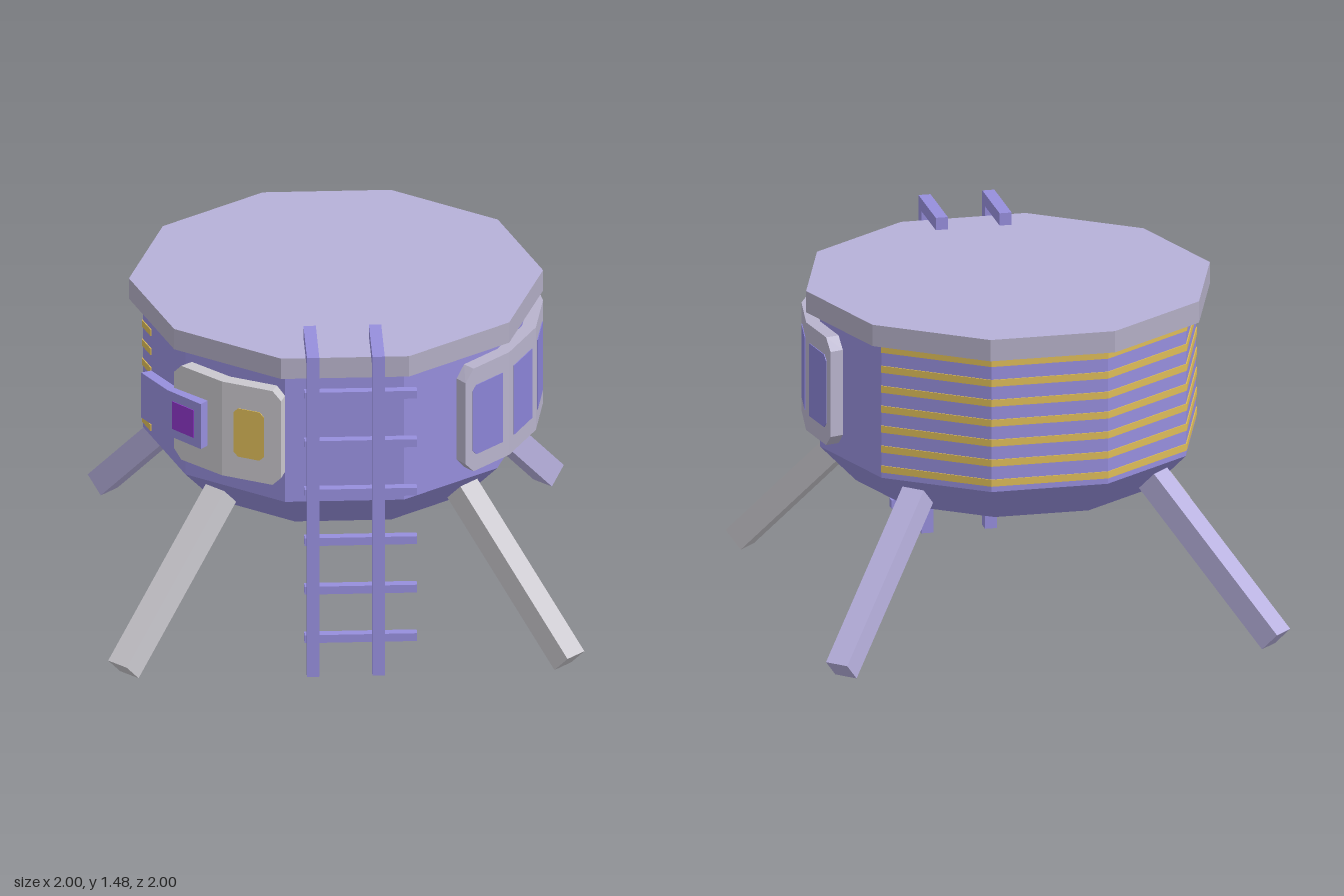
import * as THREE from 'three';

const mat = (name, color) => {
  const m = new THREE.MeshStandardMaterial({ color });
  m.name = name;
  return m;
};

// Point [x, z] on a circle; angle in degrees from +x towards +z
const polar = (deg, r) => {
  const a = THREE.MathUtils.degToRad(deg);
  return [Math.cos(a) * r, Math.sin(a) * r];
};
const lerp = (p, q, t) => [p[0] + (q[0] - p[0]) * t, p[1] + (q[1] - p[1]) * t];
const arc = (angles, r) => angles.map((a) => polar(a, r));

// Curved plate along a ground path (left to right seen from outside).
// It reaches from the path scaled by sIn to the path scaled by sOut;
// cut = [left, right] sizes of the corner chamfers.
function plate(path, y0, y1, sIn, sOut, cut = [0, 0]) {
  const cols = path.map(([x, z]) => ({ x, z, lo: y0, hi: y1 }));
  const chamfer = (i, j, c) => {
    const p = path[i], q = path[j];
    const t = c / Math.hypot(q[0] - p[0], q[1] - p[1]);
    const [x, z] = lerp(p, q, t);
    return { x, z, lo: y0, hi: y1 };
  };
  const n = path.length;
  const shrink = (col, c) => { col.lo += c; col.hi -= c; };
  if (cut[1]) {
    shrink(cols[n - 1], cut[1]);
    cols.splice(n - 1, 0, chamfer(n - 1, n - 2, cut[1]));
  }
  if (cut[0]) {
    shrink(cols[0], cut[0]);
    cols.splice(1, 0, chamfer(0, 1, cut[0]));
  }
  const pos = [];
  const quad = (a, b, c, d) => pos.push(...a, ...b, ...c, ...a, ...c, ...d);
  const pt = (c, s, key) => [c.x * s, c[key], c.z * s];
  for (let i = 0; i < cols.length - 1; i++) {
    const a = cols[i], b = cols[i + 1];
    const [ol, or, oR, oL] = [pt(a, sOut, 'lo'), pt(b, sOut, 'lo'), pt(b, sOut, 'hi'), pt(a, sOut, 'hi')];
    const [il, ir, iR, iL] = [pt(a, sIn, 'lo'), pt(b, sIn, 'lo'), pt(b, sIn, 'hi'), pt(a, sIn, 'hi')];
    quad(ol, or, oR, oL);
    quad(ir, il, iL, iR);
    quad(oL, oR, iR, iL);
    quad(il, ir, or, ol);
    if (i === 0) quad(il, ol, oL, iL);
    if (i === cols.length - 2) quad(or, ir, iR, oR);
  }
  const g = new THREE.BufferGeometry();
  g.setAttribute('position', new THREE.Float32BufferAttribute(pos, 3));
  return g;
}

// Ten-sided drum with a vertex on the x axis and faceted normals
function drum(rTop, rBottom, y0, y1, open = false) {
  const g = new THREE.CylinderGeometry(rTop, rBottom, y1 - y0, 10, 1, open, Math.PI / 2);
  return g.translate(0, (y0 + y1) / 2, 0);
}

export function createModel() {
  const model = new THREE.Group();
  model.name = 'habitatModule';

  const violet = mat('violet hull', 0x968edc);
  const lilac = mat('lilac roof', 0xb6b0d8);
  const rimGrey = mat('rim grey', 0xb2adc4);
  const panelLilac = mat('window panel', 0xb8b3cc);
  const paleGrey = mat('pale grey', 0xcac8ce);
  const backLeg = mat('lilac leg', 0xb9b2e0);
  const glass = mat('window violet', 0x8a83d6);
  const gold = mat('gold', 0xdcbb58);
  const magenta = mat('magenta', 0x9136cc);

  const add = (name, geometry, material, parent = model) => {
    const g = geometry.index ? geometry.toNonIndexed() : geometry;
    if (!Array.isArray(material)) g.clearGroups();
    g.computeVertexNormals();
    const mesh = new THREE.Mesh(g, material);
    mesh.name = name;
    parent.add(mesh);
    return mesh;
  };
  const group = (name) => {
    const g = new THREE.Group();
    g.name = name;
    model.add(g);
    return g;
  };

  // Hull and roof
  add('hull', drum(0.81, 0.81, 0.72, 1.32), violet);
  add('hullSkirt', drum(0.81, 0.655, 0.56, 0.72), violet);
  const roof = drum(0.87, 0.87, 1.316, 1.41).toNonIndexed();
  add('roof', roof, [rimGrey, lilac, rimGrey]);

  // Gold stripes around the back of the hull
  const stripes = group('stripes');
  const stripePath = arc([324, 288, 252, 216, 180], 0.81);
  stripePath.push(lerp(polar(180, 0.81), polar(144, 0.81), 0.2));
  for (let i = 0; i < 7; i++) {
    const y = 0.76 + i * 0.088;
    add('stripe', plate(stripePath, y - 0.015, y + 0.015, 0.999, 1.006), gold, stripes);
  }

  // Window set into one facet between two angles
  const pane = (name, a, b, r, t0, t1, y0, y1, material, cut, parent) => {
    const p = polar(a, r), q = polar(b, r);
    add(name, plate([lerp(p, q, t0), lerp(p, q, t1)], y0, y1, 0.999, 1.004, cut), material, parent);
  };

  // Wide panel with four windows
  const wide = group('widePanel');
  const wideAngles = [54, 36, 18, 0, -18];
  add('widePanelFrame', plate(arc(wideAngles, 0.87), 0.797, 1.272, 0.81 / 0.87, 1, [0.05, 0.05]), panelLilac, wide);
  for (let i = 0; i < 4; i++) {
    const cut = [i === 0 ? 0.022 : 0, i === 3 ? 0.022 : 0];
    pane('window', wideAngles[i], wideAngles[i + 1], 0.87, 0.16, 0.84, 0.872, 1.192, glass, cut, wide);
  }

  // Hatch panel with a gold window
  const hatch = group('hatchPanel');
  add('hatchFrame', plate(arc([144, 126, 108], 0.87), 0.818, 1.252, 0.81 / 0.87, 1, [0.04, 0.04]), paleGrey, hatch);
  pane('hatchWindow', 126, 108, 0.87, 0.2, 0.71, 0.92, 1.143, gold, [0.02, 0.02], hatch);

  // Small folded pod with a magenta screen
  const pod = group('controlPod');
  add('podCase', plate(arc([157, 144, 131.4], 0.907), 0.93, 1.138, 0.86 / 0.907, 1), violet, pod);
  pane('podScreen', 144, 131.4, 0.907, 0.16, 0.8, 0.97, 1.097, magenta, [0, 0], pod);

  // Ladder with hooked rails and six rungs
  const ladder = group('ladder');
  const box = (name, x0, x1, y0, y1, z0, z1) => {
    const g = new THREE.BoxGeometry(x1 - x0, y1 - y0, z1 - z0);
    g.translate((x0 + x1) / 2, (y0 + y1) / 2, (z0 + z1) / 2);
    add(name, g, violet, ladder);
  };
  for (const x of [-0.141, 0.134]) {
    box('ladderRail', x - 0.026, x + 0.026, 0, 1.476, 0.916, 0.969);
    box('ladderHook', x - 0.026, x + 0.026, 1.422, 1.476, 0.648, 0.916);
  }
  for (let i = 0; i < 6; i++) {
    const y = 0.15 + i * 0.2245;
    box('ladderRung', -0.175, 0.298, y - 0.018, y + 0.018, 0.877, 0.916);
  }

  // Four square legs splayed at 45 degrees along the diagonals
  for (const [sx, sz] of [[1, 1], [-1, 1], [1, -1], [-1, -1]]) {
    const leg = new THREE.BoxGeometry(0.105, 0.105, 0.86);
    leg.rotateX(Math.PI / 4);
    leg.translate(0, 0.341, 1.021);
    leg.rotateY(Math.atan2(sx, sz));
    add((sz > 0 ? 'front' : 'back') + (sx > 0 ? 'Left' : 'Right') + 'Leg', leg, sz > 0 ? paleGrey : backLeg);
  }
  return model;
}
